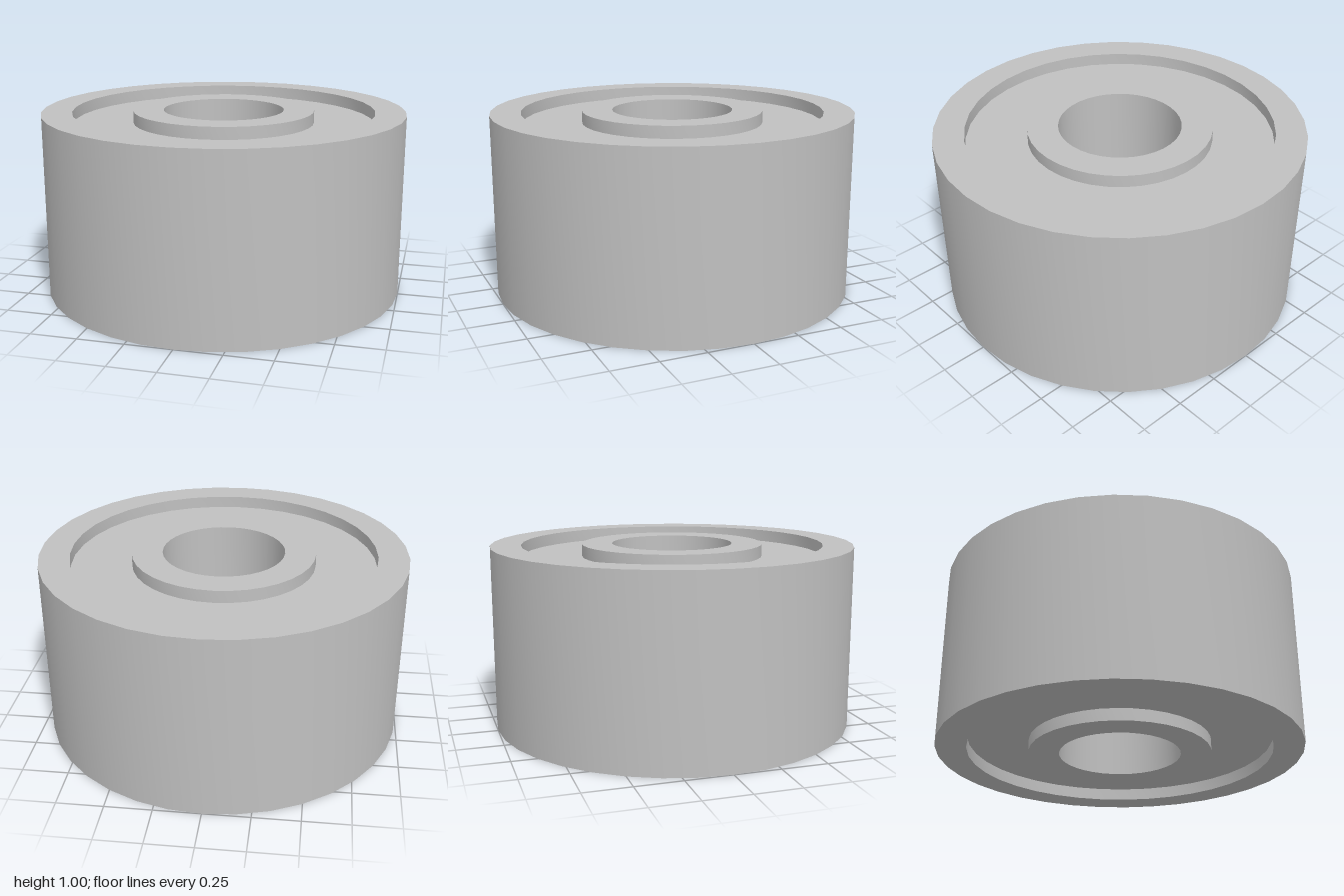
import * as THREE from 'three';
import { toCreasedNormals } from 'three/addons/utils/BufferGeometryUtils.js';

const SEGMENTS = 36;
const HEIGHT = 1;
const RECESS = 0.067; // depth of the groove on each end
const R_OUTER = 1;
const R_GROOVE_OUT = 0.833;
const R_GROOVE_IN = 0.5;
const R_BORE = 0.333;

export function createModel() {
  const group = new THREE.Group();
  group.name = 'ballBearing';
  const steel = new THREE.MeshStandardMaterial({ color: 0xc0c0c0 });
  steel.name = 'steel grey';

  // Turns a [radius, height] profile about the y axis, keeping its corners sharp
  function turned(name, profile) {
    const points = profile.map(([r, y]) => new THREE.Vector2(r, y));
    const geometry = toCreasedNormals(new THREE.LatheGeometry(points, SEGMENTS), Math.PI / 6);
    const mesh = new THREE.Mesh(geometry, steel);
    mesh.name = name;
    group.add(mesh);
  }

  const low = RECESS;
  const high = HEIGHT - RECESS;

  // Outer race: groove wall, bottom rim, outside, top rim, groove wall
  turned('outerRace', [
    [R_GROOVE_OUT, low], [R_GROOVE_OUT, 0], [R_OUTER, 0],
    [R_OUTER, HEIGHT], [R_GROOVE_OUT, HEIGHT], [R_GROOVE_OUT, high],
  ]);

  // Inner race around the bore
  turned('innerRace', [
    [R_GROOVE_IN, high], [R_GROOVE_IN, HEIGHT], [R_BORE, HEIGHT],
    [R_BORE, 0], [R_GROOVE_IN, 0], [R_GROOVE_IN, low],
  ]);

  // Recessed shields between the races
  turned('topShield', [[R_GROOVE_OUT, high], [R_GROOVE_IN, high]]);
  turned('bottomShield', [[R_GROOVE_IN, low], [R_GROOVE_OUT, low]]);

  return group;
}
